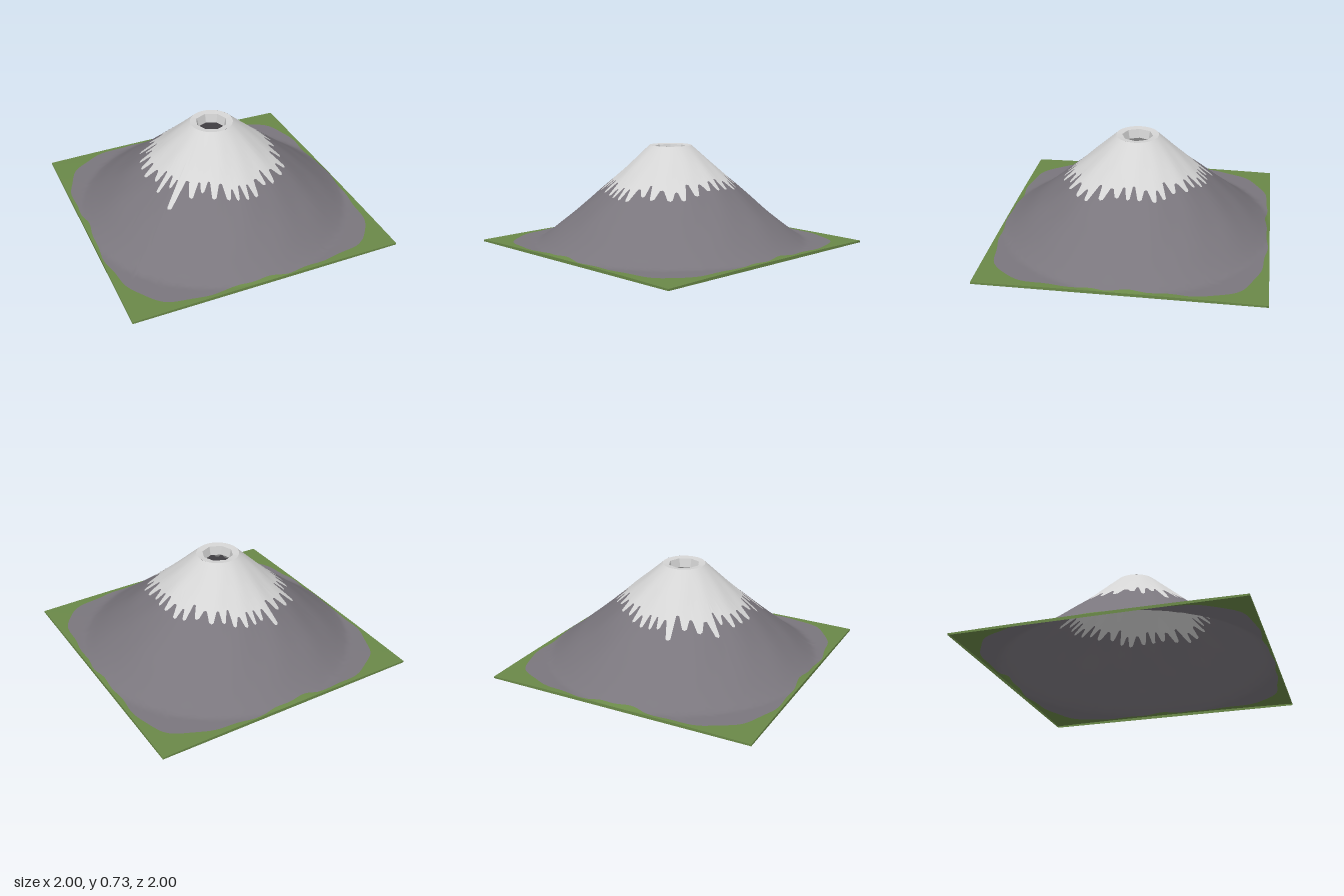
import * as THREE from 'three';

const mat = (name, color) => {
  const m = new THREE.MeshStandardMaterial({ color, side: THREE.DoubleSide });
  m.name = name;
  return m;
};

// tips of the snow line, as x, z pairs around the peak
const SNOW_TIPS = [
  -0.17, -0.55, -0.07, -0.51, -0.01, -0.52, 0.06, -0.52, 0.14, -0.49, 0.2, -0.44, 0.28, -0.4,
  0.35, -0.31, 0.42, -0.25, 0.46, -0.19, 0.475, -0.08, 0.48, 0, 0.465, 0.08, 0.46, 0.2,
  0.44, 0.31, 0.38, 0.38, 0.27, 0.46, 0.2, 0.47, 0.1, 0.54, 0.03, 0.55, -0.04, 0.54,
  -0.1, 0.52, -0.2, 0.48, -0.26, 0.41, -0.34, 0.4, -0.5, 0.36, -0.44, 0.25, -0.52, 0.2,
  -0.5, 0.12, -0.54, 0, -0.53, -0.1, -0.51, -0.19, -0.44, -0.25, -0.46, -0.34, -0.35, -0.41, -0.25, -0.45,
];

// slope profile: radius, height
const PROFILE = [
  [0, 0.73], [0.155, 0.73], [0.3, 0.597], [0.42, 0.488], [0.7, 0.25], [0.88, 0.105],
  [0.94, 0.06], [1, 0.022], [1.2, 0.018], [1.45, 0.012],
];

function profileHeight(r) {
  let i = 1;
  while (i < PROFILE.length - 1 && r > PROFILE[i][0]) i++;
  const [r0, y0] = PROFILE[i - 1], [r1, y1] = PROFILE[i];
  return y0 + ((y1 - y0) * (r - r0)) / (r1 - r0);
}

// point on the terrain, with gentle gullies on the middle slopes
function terrain(a, r) {
  const rough = Math.max(0, Math.min(r - 0.16, 0.95 - r, 0.2)) * 5;
  const bump = Math.sin(a * 7 + r * 5) * 0.4 + Math.sin(a * 13 - r * 11) * 0.35 + Math.sin(a * 4 + 2 + r * 17) * 0.25;
  const shift = -0.012 * Math.max(0, Math.min(1, 1 - (r - 0.15) / 0.25));
  return [Math.cos(a) * r + shift, profileHeight(r) + rough * bump * 0.006, Math.sin(a) * r];
}

// zigzag snow line: tips with valleys between them
function makeSnowLine() {
  const tips = [];
  for (let i = 0; i < SNOW_TIPS.length; i += 2) {
    const x = SNOW_TIPS[i], z = SNOW_TIPS[i + 1];
    tips.push({ a: (Math.atan2(z, x) + Math.PI * 2) % (Math.PI * 2), r: Math.hypot(x, z) });
  }
  tips.sort((p, q) => p.a - q.a);
  const line = [];
  tips.forEach((p, i) => {
    const last = i === tips.length - 1;
    const q = last ? { a: tips[0].a + Math.PI * 2, r: tips[0].r } : tips[i + 1];
    const valley = Math.min(p.r, q.r) * (0.86 + 0.03 * Math.sin(i * 2.3));
    const at = (t) => p.a + (q.a - p.a) * t;
    // rounded tips and valleys
    line.push({ a: p.a, r: p.r }, { a: at(0.16), r: p.r * 0.985 });
    line.push({ a: at(0.38), r: valley * 1.01 }, { a: at(0.5), r: valley });
    line.push({ a: at(0.62), r: valley * 1.01 }, { a: at(0.84), r: q.r * 0.985 });
  });
  return line;
}

// add columns exactly at the four corners so that the base stays square
function addCorners(line) {
  for (let k = 0; k < 4; k++) {
    const a = Math.PI / 4 + (k * Math.PI) / 2;
    const i = line.findIndex((p) => p.a > a);
    const p = line[i - 1], q = line[i];
    line.splice(i, 0, { a, r: p.r + ((q.r - p.r) * (a - p.a)) / (q.a - p.a) });
  }
  return line;
}

// closed ring surface; rows run from inside to outside
function band(name, columns, rowCount, point, material) {
  const pos = [], index = [], n = columns.length;
  for (let j = 0; j <= rowCount; j++) {
    for (const c of columns) pos.push(...point(c, j / rowCount));
  }
  for (let j = 0; j < rowCount; j++) {
    for (let i = 0; i < n; i++) {
      const a = j * n + i, b = j * n + ((i + 1) % n);
      index.push(a, b, a + n, b, b + n, a + n);
    }
  }
  const geo = new THREE.BufferGeometry();
  geo.setAttribute('position', new THREE.Float32BufferAttribute(pos, 3));
  geo.setIndex(index);
  geo.computeVertexNormals();
  const mesh = new THREE.Mesh(geo, material);
  mesh.name = name;
  return mesh;
}

export function createModel() {
  const snow = mat('snow', 0xd4d4d4);
  const rock = mat('rock', 0x7a767d);
  const grass = mat('grass', 0x6a8848);

  const columns = addCorners(makeSnowLine());
  const lerp = THREE.MathUtils.lerp;
  const squareEdge = (a) => 1 / Math.max(Math.abs(Math.cos(a)), Math.abs(Math.sin(a)));
  // rounded square where rock gives way to grass
  const rockEdge = (a) => {
    const n = 4.3;
    const r = (Math.abs(Math.cos(a)) ** n + Math.abs(Math.sin(a)) ** n) ** (-1 / n);
    return r * (0.976 + 0.008 * Math.sin(a * 9 + 1) + 0.006 * Math.sin(a * 23));
  };
  // eight-sided crater mouth
  const octagon = (a, r) => {
    const s = Math.PI / 4;
    return (r * Math.cos(s / 2)) / Math.cos((a % s) - s / 2);
  };

  const group = new THREE.Group();
  group.name = 'mountain';
  group.add(
    band('craterWall', columns, 2, ({ a }, t) => {
      const r = octagon(a, lerp(0.1, 0.114, t));
      return [Math.cos(a) * r - 0.012, lerp(0.66, 0.725, t), Math.sin(a) * r];
    }, snow),
    band('craterRim', columns, 1, ({ a }, t) => {
      const r = lerp(octagon(a, 0.114), 0.155, t);
      return [Math.cos(a) * r - 0.012, lerp(0.725, 0.73, t), Math.sin(a) * r];
    }, snow),
    band('snowCap', columns, 10, ({ a, r }, t) => terrain(a, lerp(0.155, r, t)), snow),
    band('rockSlope', columns, 24, ({ a, r }, t) => terrain(a, lerp(r, rockEdge(a), t)), rock),
    band('grassCorners', columns, 3, ({ a }, t) => terrain(a, lerp(rockEdge(a), squareEdge(a), t)), grass),
    // thin upright border around the base
    band('baseEdge', columns, 1, ({ a }, t) => {
      const [x, y, z] = terrain(a, squareEdge(a));
      return [x, y * (1 - t), z];
    }, grass),
  );
  return group;
}
